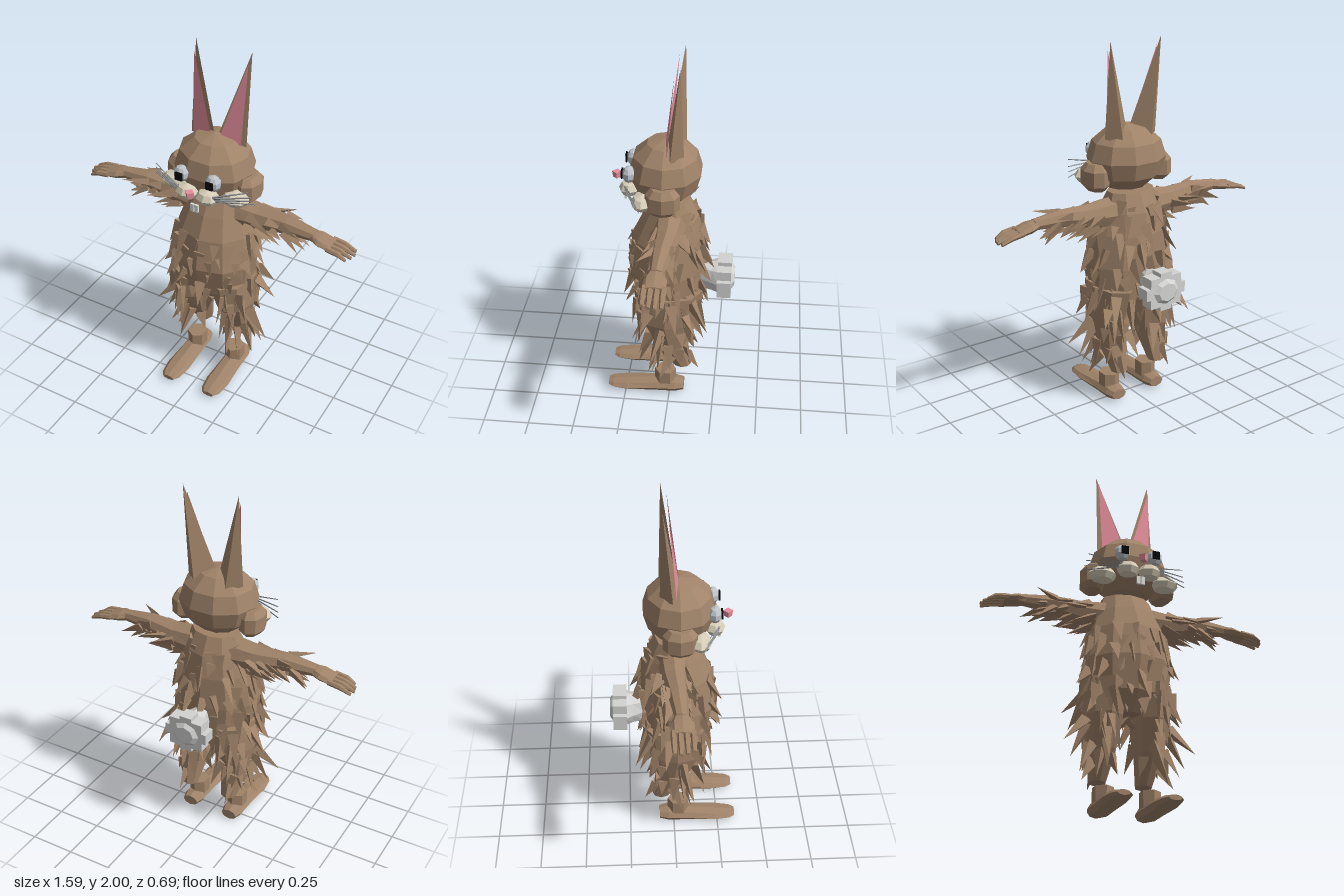
import * as THREE from 'three';
import { mergeGeometries } from 'three/addons/utils/BufferGeometryUtils.js';

const mat = (name, color, side = THREE.FrontSide) => {
  const m = new THREE.MeshStandardMaterial({ color, side });
  m.name = name;
  return m;
};
const V = (x, y, z) => new THREE.Vector3(x, y, z);

// Split vertices so every face is flat
function flat(g) {
  const f = g.index ? g.toNonIndexed() : g;
  f.deleteAttribute('uv');
  f.computeVertexNormals();
  return f;
}

// Mirrored copy across x = 0 with the winding restored
function mirrored(g) {
  const m = g.clone(), p = m.attributes.position;
  for (let i = 0; i < p.count; i += 3) {
    const [a, b, c] = [0, 1, 2].map((k) => V().fromBufferAttribute(p, i + k));
    [a, c, b].forEach((v, k) => p.setXYZ(i + k, -v.x, v.y, v.z));
  }
  m.computeVertexNormals();
  return m;
}

// Rotate a section (a, along, b) so it runs along the chosen axis
const AXIS = {
  y: (a, t, b) => V(a, t, b),
  x: (a, t, b) => V(t, -a, b),
  z: (a, t, b) => V(a, -b, t),
};

// Loft through rings [along, centreA, centreB, radiusA, radiusB], ascending along
function loft(rings, axis, sides = 8) {
  const n = rings.length - 1;
  const g = new THREE.CylinderGeometry(1, 1, 1, sides, n);
  const p = g.attributes.position;
  for (let i = 0; i < p.count; i++) {
    const [t, ca, cb, ra, rb] = rings[Math.round((p.getY(i) + 0.5) * n)];
    const v = AXIS[axis](ca + ra * p.getX(i), t, cb + rb * p.getZ(i));
    p.setXYZ(i, v.x, v.y, v.z);
  }
  return flat(g);
}

function blob(c, r, w = 8, h = 5) {
  const g = new THREE.SphereGeometry(1, w, h);
  g.scale(...r).translate(...c);
  return flat(g);
}

function box(c, s) {
  return flat(new THREE.BoxGeometry(...s).translate(...c));
}

// Tapered spike from p along dir
function spike(p, dir, len, w, sides = 3, tip = 0) {
  const g = new THREE.CylinderGeometry(tip, w, len, sides).translate(0, len / 2, 0);
  g.applyQuaternion(new THREE.Quaternion().setFromUnitVectors(V(0, 1, 0), dir.clone().normalize()));
  return flat(g.translate(p.x, p.y, p.z));
}

let seed = 7;
const rnd = () => (seed = (seed * 16807) % 2147483647) / 2147483647;

// Rows of fur over a lofted surface; skip(position, outward) leaves bare areas
function fur(rings, axis, { from, to, rows, count, along, out, len, width, skip }) {
  const list = [];
  for (let r = 0; r < rows; r++) {
    for (let k = 0; k < count; k++) {
      const t = from + (to - from) * (r + rnd() * 0.8) / rows;
      const a = ((k + (r % 2) / 2 + rnd() * 0.6) / count) * Math.PI * 2;
      let i = 0;
      while (i < rings.length - 2 && rings[i + 1][0] < t) i++;
      const A = rings[i], B = rings[i + 1], f = (t - A[0]) / (B[0] - A[0]);
      const [, ca, cb, ra, rb] = A.map((v, j) => v + (B[j] - v) * f);
      const p = AXIS[axis](ca + ra * 0.93 * Math.sin(a), t, cb + rb * 0.93 * Math.cos(a));
      const o = AXIS[axis](Math.sin(a), 0, Math.cos(a));
      if (skip(p, o)) continue;
      const d = along.clone().addScaledVector(o, out * (0.5 + rnd()));
      d.add(V(rnd() - 0.5, rnd() - 0.5, rnd() - 0.5).multiplyScalar(0.5));
      list.push(spike(p, d, len * (0.55 + rnd() * 0.9), width * (0.7 + rnd() * 0.6)));
    }
  }
  return mergeGeometries(list);
}

export function createModel() {
  const root = new THREE.Group();
  const brown = mat('brown fur', 0xa08369);
  const pink = mat('pink skin', 0xe78f9d, THREE.DoubleSide);
  const cream = mat('cream muzzle', 0xd8cfb9);
  const pale = mat('pale grey tail', 0xd3d4d2);
  const eyeGrey = mat('eye grey', 0xbdc4ca);
  const black = mat('black pupil', 0x060608);
  const white = mat('white teeth', 0xe0e0dc);
  const grey = mat('grey whisker', 0x8d9092);

  const add = (name, g, m) => {
    const mesh = new THREE.Mesh(g, m);
    mesh.name = name;
    root.add(mesh);
  };
  const pair = (name, g, m) => {
    add('left' + name, g, m);
    add('right' + name, mirrored(g), m);
  };

  // Torso and its fur
  const torso = [
    [0.52, 0, 0.01, 0.13, 0.12], [0.62, 0, 0.02, 0.215, 0.185], [0.8, 0, 0.032, 0.238, 0.208],
    [0.98, 0, 0.02, 0.21, 0.19], [1.1, 0, 0.005, 0.17, 0.15], [1.2, 0, 0, 0.135, 0.095],
  ];
  add('torso', loft(torso, 'y', 10), brown);
  add('torsoFur', fur(torso, 'y', {
    from: 0.58, to: 1.18, rows: 8, count: 13, along: V(0, -1, 0), out: 0.42, len: 0.115, width: 0.034,
    skip: (p, o) => p.y > 1.03 && o.z > -0.2,
  }), brown);

  // Legs, shaggy down to the shins
  const leg = [
    [0.19, 0.125, -0.07, 0.045, 0.05], [0.34, 0.128, -0.005, 0.078, 0.092],
    [0.5, 0.128, 0.02, 0.105, 0.145], [0.68, 0.118, 0.015, 0.112, 0.185],
  ];
  pair('Leg', loft(leg, 'y'), brown);
  pair('LegFur', fur(leg, 'y', {
    from: 0.28, to: 0.68, rows: 6, count: 7, along: V(0, -1, 0), out: 0.48, len: 0.14, width: 0.033,
    skip: (p, o) => o.x < -0.6 && p.y < 0.52,
  }), brown);

  // Ankles and long feet
  pair('Ankle', loft([[0.05, 0.125, 0.025, 0.055, 0.06], [0.14, 0.125, 0.025, 0.055, 0.06]], 'y', 6), brown);
  pair('Foot', loft([
    [-0.08, 0.128, -0.04, 0.045, 0.03], [-0.03, 0.128, -0.04, 0.06, 0.04], [0.08, 0.128, -0.037, 0.06, 0.037],
    [0.24, 0.13, -0.03, 0.067, 0.029], [0.32, 0.13, -0.028, 0.055, 0.022], [0.35, 0.13, -0.028, 0.035, 0.014],
  ], 'z'), brown);

  // Arms with fur sweeping to the wrists
  const arm = [
    [0.09, -1.09, 0, 0.09, 0.085], [0.25, -1.095, 0, 0.066, 0.07],
    [0.42, -1.113, 0.012, 0.048, 0.052], [0.58, -1.108, 0.02, 0.03, 0.035],
  ];
  pair('Arm', loft(arm, 'x'), brown);
  pair('ArmFur', fur(arm, 'x', {
    from: 0.18, to: 0.48, rows: 5, count: 7, along: V(1, -0.25, 0), out: 0.4, len: 0.11, width: 0.027,
    skip: (p, o) => o.y > 0.6,
  }), brown);

  // Hands
  pair('Hand', loft([
    [0.56, -1.108, 0.02, 0.028, 0.034], [0.61, -1.1, 0.022, 0.028, 0.058], [0.68, -1.085, 0.022, 0.02, 0.058],
  ], 'x'), brown);
  const fingers = [-0.025, 0.007, 0.039, 0.071].map((z, i) => loft([
    [0.66, -1.09, z, 0.015, 0.014], [0.73, -1.08, z, 0.015, 0.015],
    [i === 3 ? 0.77 : 0.795 - Math.abs(i - 1) * 0.008, -1.058, z, 0.009, 0.01],
  ], 'x', 6));
  pair('Fingers', mergeGeometries(fingers), brown);

  // Head and boxy cheeks
  add('head', blob([0, 1.37, 0.032], [0.218, 0.182, 0.196], 10, 6), brown);
  pair('Cheek', loft([
    [1.22, 0.195, 0.03, 0.045, 0.06], [1.25, 0.2, 0.03, 0.068, 0.09],
    [1.33, 0.2, 0.03, 0.068, 0.09], [1.365, 0.195, 0.03, 0.045, 0.06],
  ], 'y'), brown);

  // Ears: pyramid shell with a pink lining
  const triangles = (pts) => {
    const g = new THREE.BufferGeometry().setFromPoints(pts);
    g.computeVertexNormals();
    return g;
  };
  const O = V(0.16, 1.49, -0.005), I = V(0.01, 1.53, 0.02), B = V(0.09, 1.47, -0.07), T = V(0.156, 2, -0.055);
  pair('Ear', triangles([O, B, T, B, I, T, I, O, T]), brown);
  pair('EarLining', triangles([V(0.022, 1.52, 0.032), V(0.137, 1.49, 0.015), V(0.152, 1.95, -0.025)]), pink);

  // Eyes
  pair('Eye', blob([0.092, 1.38, 0.212], [0.044, 0.045, 0.037], 8, 5), eyeGrey);
  pair('Pupil', box([0.088, 1.381, 0.248], [0.04, 0.044, 0.009]), black);

  // Muzzle, nose and teeth
  pair('MuzzlePad', blob([0.06, 1.285, 0.215], [0.065, 0.043, 0.055], 8, 4), cream);
  pair('MuzzleSide', blob([0.175, 1.27, 0.135], [0.08, 0.043, 0.062], 8, 4), cream);
  add('nose', flat(new THREE.CylinderGeometry(0.026, 0.021, 0.034, 4).translate(0, 1.326, 0.288)), pink);
  pair('Tooth', box([0.012, 1.215, 0.243], [0.02, 0.045, 0.012]), white);

  // Whiskers
  const whiskers = [-0.01, 0.015, 0.04, 0.075].map((dy, i) => {
    const start = V(0.1, 1.285 + i * 0.008, 0.235), end = V(0.292 - i * 0.008, 1.285 + dy, 0.14 + i * 0.012);
    const d = end.clone().sub(start);
    return spike(start, d, d.length(), 0.005, 4, 0.003);
  });
  pair('Whiskers', mergeGeometries(whiskers), grey);

  // Puffy tail: stem and core with a ring of chunky lumps and a rear boss
  const lumps = [loft([
    [-0.345, 0, -0.72, 0.055, 0.05], [-0.32, 0, -0.72, 0.09, 0.08], [-0.26, 0, -0.72, 0.105, 0.095],
    [-0.22, 0, -0.72, 0.08, 0.088], [-0.16, 0, -0.72, 0.05, 0.085],
  ], 'z', 8)];
  for (let k = 0; k < 8; k++) {
    const a = (k / 8) * Math.PI * 2;
    lumps.push(box([0.088 * Math.cos(a), 0.72 + 0.075 * Math.sin(a), -0.29], [0.07, 0.06, 0.075]));
  }
  add('tail', mergeGeometries(lumps), pale);

  return root;
}
